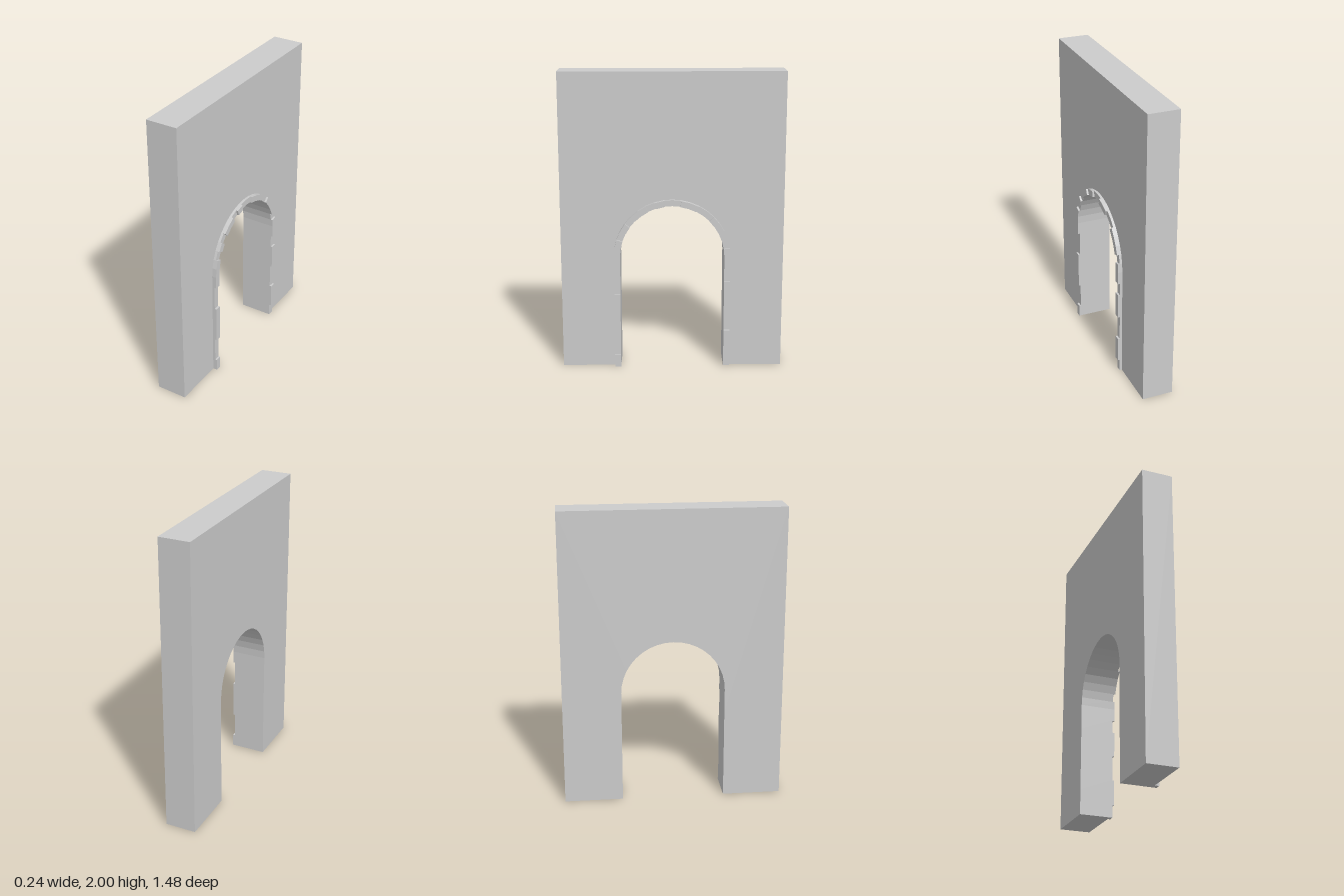
import * as THREE from 'three';

const HALF = 0.74, HEIGHT = 2, BACK = -0.12, FACE = 0.09;
const SPRING = 0.772, R_IN = 0.347, R_OUT = 0.388;
const LEG = 9, ARC = 20; // unit steps up each leg and round the arch

// Point on the opening's outline at step i, counted from the foot at +z, offset to radius r
function outline(i, r) {
  if (i <= LEG) return new THREE.Vector2(-r, SPRING * i / LEG);
  if (i >= LEG + ARC) return new THREE.Vector2(r, SPRING * (2 * LEG + ARC - i) / LEG);
  const a = Math.PI * (i - LEG) / ARC;
  return new THREE.Vector2(-r * Math.cos(a), SPRING + r * Math.sin(a));
}

function outlineRun(from, to, r) {
  const pts = [];
  for (let i = from; i <= to; i++) pts.push(outline(i, r));
  return pts;
}

// Extrude a (-z, y) profile along x
function slab(points, x0, x1, name, material) {
  const geo = new THREE.ExtrudeGeometry(new THREE.Shape(points), { depth: x1 - x0, bevelEnabled: false });
  geo.rotateY(Math.PI / 2);
  geo.translate(x0, 0, 0);
  const mesh = new THREE.Mesh(geo, material);
  mesh.name = name;
  return mesh;
}

export function createModel() {
  const group = new THREE.Group();
  group.name = 'archedWall';
  const material = new THREE.MeshStandardMaterial({ color: 0xcccccc, flatShading: true });
  const end = 2 * LEG + ARC;

  // Wall with the arched doorway cut from its foot
  const wall = [
    new THREE.Vector2(HALF, 0), new THREE.Vector2(HALF, HEIGHT),
    new THREE.Vector2(-HALF, HEIGHT), new THREE.Vector2(-HALF, 0),
    ...outlineRun(0, end, R_IN),
  ];
  group.add(slab(wall, BACK, FACE, 'wall', material));

  // Surround stones, alternately proud and recessed
  const surround = new THREE.Group();
  surround.name = 'archSurround';
  const joints = [0, 1, 3, 6, 8, 11, 12, 13, 14, 16, 17, 18, 20, 22, 24, 27, 28, 30, 31, 33, 35, 37, 38];
  for (let j = 0; j < joints.length - 1; j++) {
    const inner = outlineRun(joints[j], joints[j + 1], R_IN);
    const outer = outlineRun(joints[j], joints[j + 1], R_OUT).reverse();
    const front = j % 2 === 0 ? 0.12 : 0.107;
    surround.add(slab([...inner, ...outer], FACE, front, 'surroundStone', material));
  }
  group.add(surround);
  return group;
}
